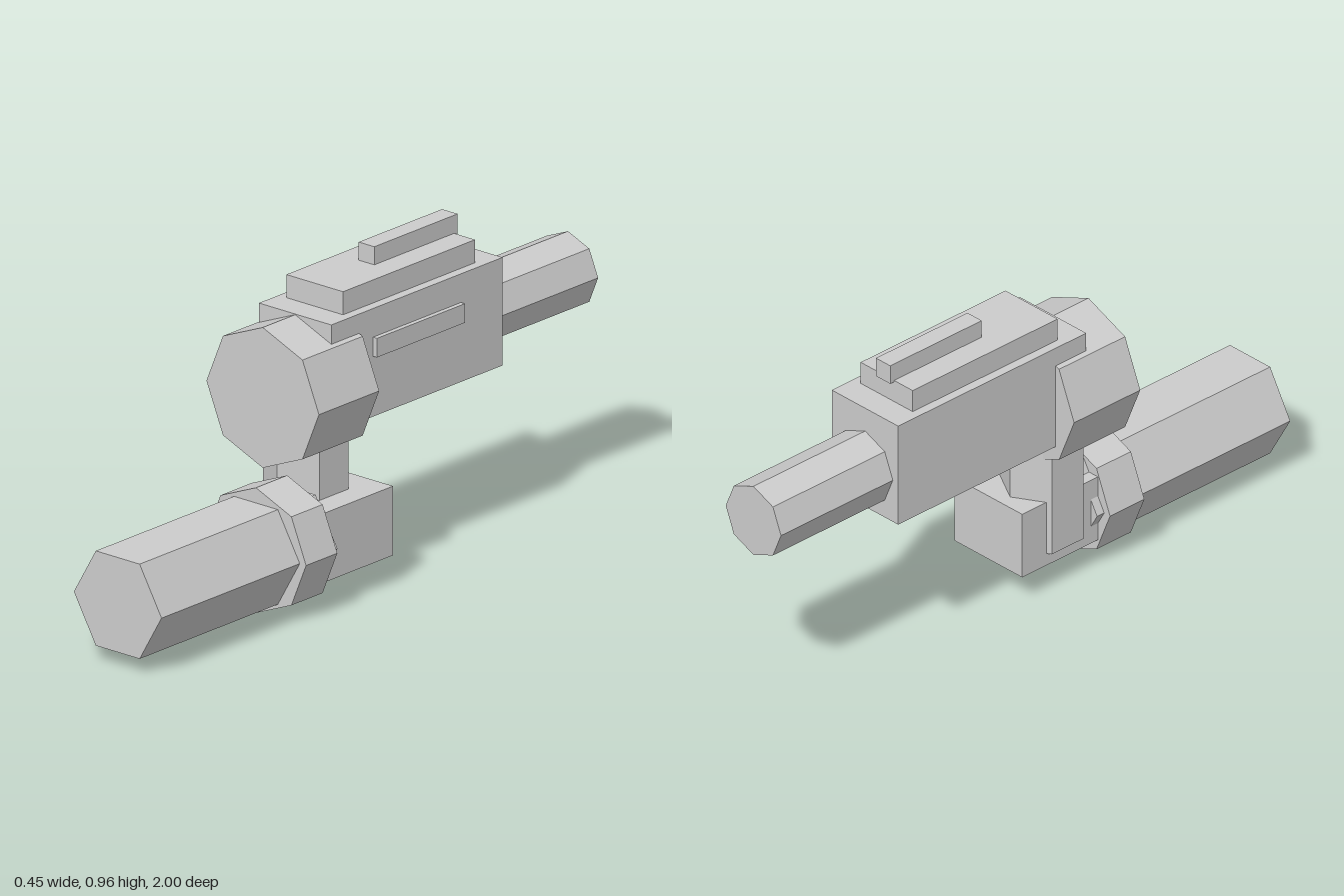
import * as THREE from 'three';

export function createModel() {
  const model = new THREE.Group();
  const grey = new THREE.MeshStandardMaterial({ color: 0xcccccc, flatShading: true });
  grey.name = 'light grey';

  const add = (name, geometry) => {
    const mesh = new THREE.Mesh(geometry, grey);
    mesh.name = name;
    model.add(mesh);
  };

  // Box given by its limits on each axis
  const box = (name, [x0, x1], [y0, y1], [z0, z1]) =>
    add(name, new THREE.BoxGeometry(x1 - x0, y1 - y0, z1 - z0)
      .translate((x0 + x1) / 2, (y0 + y1) / 2, (z0 + z1) / 2));

  // Prism lying along z
  const prism = (name, sides, r, x, y, [z0, z1], turn = 0) =>
    add(name, new THREE.CylinderGeometry(r, r, z1 - z0, sides, 1, false, turn)
      .rotateX(Math.PI / 2).translate(x, y, (z0 + z1) / 2));

  // Upper assembly: housing, stepped top, side strip, drum and rear barrel
  box('housing', [-0.149, 0.125], [0.507, 0.835], [-0.56, 0.18]);
  box('topPlate', [-0.12, 0.095], [0.83, 0.905], [-0.475, 0.095]);
  box('topRail', [-0.043, 0.016], [0.9, 0.96], [-0.49, -0.13]);
  box('sideStrip', [0.1, 0.14], [0.69, 0.748], [-0.38, 0.0]);
  prism('frontDrum', 8, 0.213, -0.012, 0.62, [0.06, 0.32]);
  prism('rearBarrel', 8, 0.114, -0.013, 0.645, [-1, -0.54]);

  // Hexagonal post joining the two assemblies
  add('post', new THREE.CylinderGeometry(0.124, 0.124, 0.42, 6).translate(-0.012, 0.34, 0.135));

  // Lower assembly: block, collar and front barrel
  box('lowerBlock', [-0.105, 0.175], [0.09, 0.3], [-0.03, 0.27]);
  prism('collar', 8, 0.19, 0.035, 0.191, [0.268, 0.403]);
  prism('frontBarrel', 6, 0.166, 0.035, 0.191, [0.24, 1], Math.PI / 2);

  return model;
}
